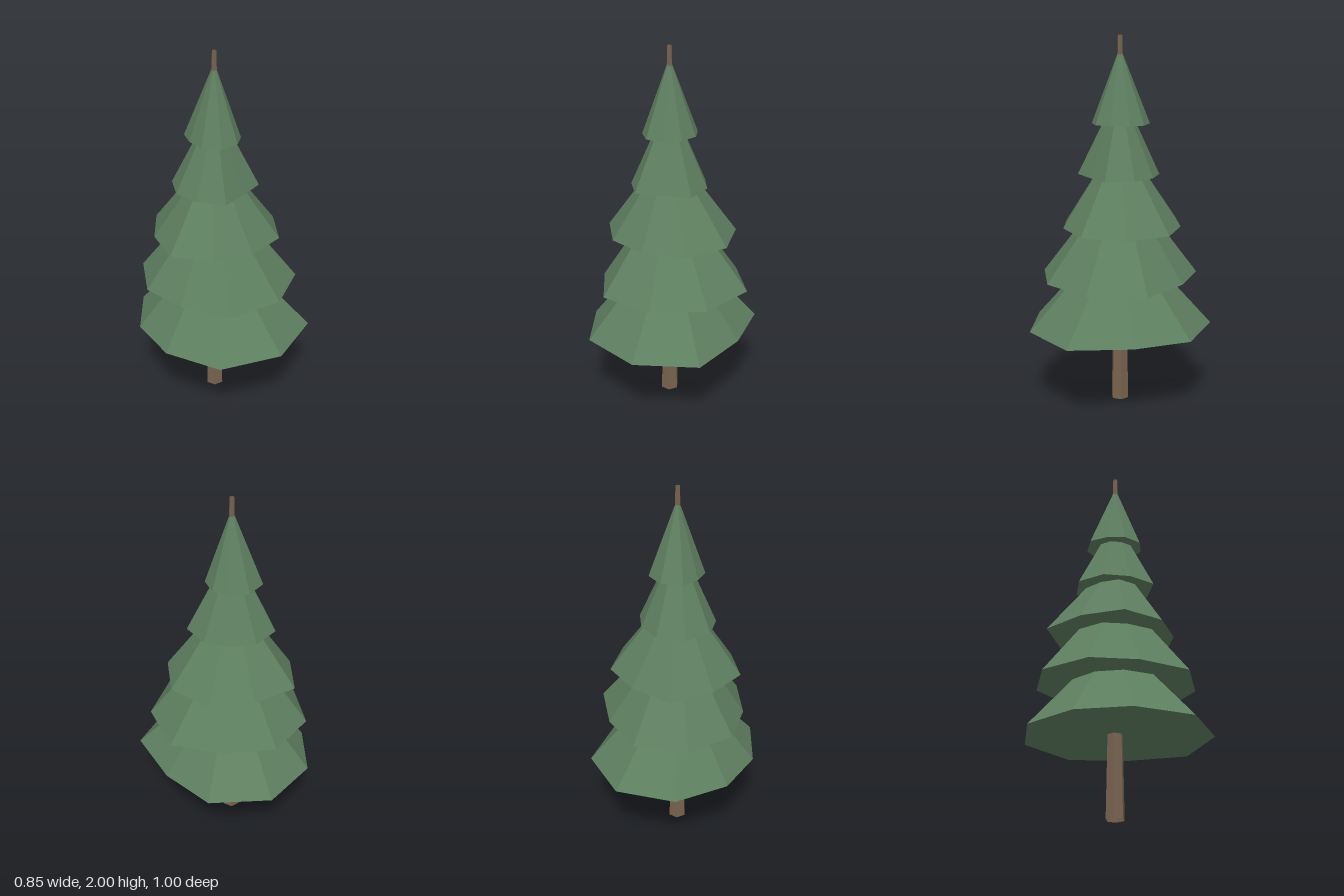
import * as THREE from 'three';

const CX = -0.02, CZ = -0.005; // trunk axis

// Each tier: rim height, apex height and nine irregular rim corners as [x, z]
const TIERS = [
  { y: 0.44, top: 0.99, rim: [[0.05, -0.5], [0.345, -0.33], [0.42, -0.02], [0.395, 0.32], [0.09, 0.497], [-0.25, 0.43], [-0.42, 0.155], [-0.425, -0.14], [-0.265, -0.405]] },
  { y: 0.715, top: 1.28, rim: [[-0.02, -0.43], [0.225, -0.305], [0.425, -0.09], [0.37, 0.215], [0.135, 0.4], [-0.165, 0.4], [-0.335, 0.175], [-0.405, -0.07], [-0.295, -0.33]] },
  { y: 0.99, top: 1.48, rim: [[0.05, -0.325], [0.265, -0.225], [0.35, 0.01], [0.24, 0.23], [0.02, 0.305], [-0.195, 0.27], [-0.35, 0.1], [-0.32, -0.13], [-0.195, -0.34]] },
  { y: 1.265, top: 1.73, rim: [[-0.03, -0.22], [0.1, -0.165], [0.185, -0.055], [0.19, 0.1], [0.05, 0.165], [-0.085, 0.215], [-0.19, 0.105], [-0.235, -0.03], [-0.18, -0.175]] },
  { y: 1.54, top: 1.94, rim: [[-0.02, -0.165], [0.08, -0.12], [0.12, -0.04], [0.1, 0.06], [0.035, 0.13], [-0.065, 0.14], [-0.14, 0.07], [-0.155, -0.025], [-0.13, -0.125]] },
];

// Faceted cone with a flat underside
function tierGeometry({ y, top, rim }) {
  const p = [];
  rim.forEach(([ax, az], i) => {
    const [bx, bz] = rim[(i + 1) % rim.length];
    p.push(ax, y, az, CX, top, CZ, bx, y, bz); // sloping side
    p.push(ax, y, az, bx, y, bz, CX, y, CZ); // underside
  });
  const g = new THREE.BufferGeometry();
  g.setAttribute('position', new THREE.Float32BufferAttribute(p, 3));
  g.computeVertexNormals();
  return g;
}

export function createModel() {
  const needles = new THREE.MeshStandardMaterial({ color: 0x5e7f60, flatShading: true });
  needles.name = 'needleGreen';
  const bark = new THREE.MeshStandardMaterial({ color: 0x78634f, flatShading: true, side: THREE.DoubleSide });
  bark.name = 'barkBrown';

  const tree = new THREE.Group();
  tree.name = 'pineTree';

  // Tapered hexagonal trunk running through to the tip
  const trunk = new THREE.Mesh(new THREE.CylinderGeometry(0.013, 0.05, 2, 6, 1, true, Math.PI / 2), bark);
  trunk.name = 'trunk';
  trunk.position.set(CX, 1, CZ);
  tree.add(trunk);

  // Stacked foliage tiers
  TIERS.forEach((tier, i) => {
    const mesh = new THREE.Mesh(tierGeometry(tier), needles);
    mesh.name = `foliageTier${i + 1}`;
    tree.add(mesh);
  });
  return tree;
}
